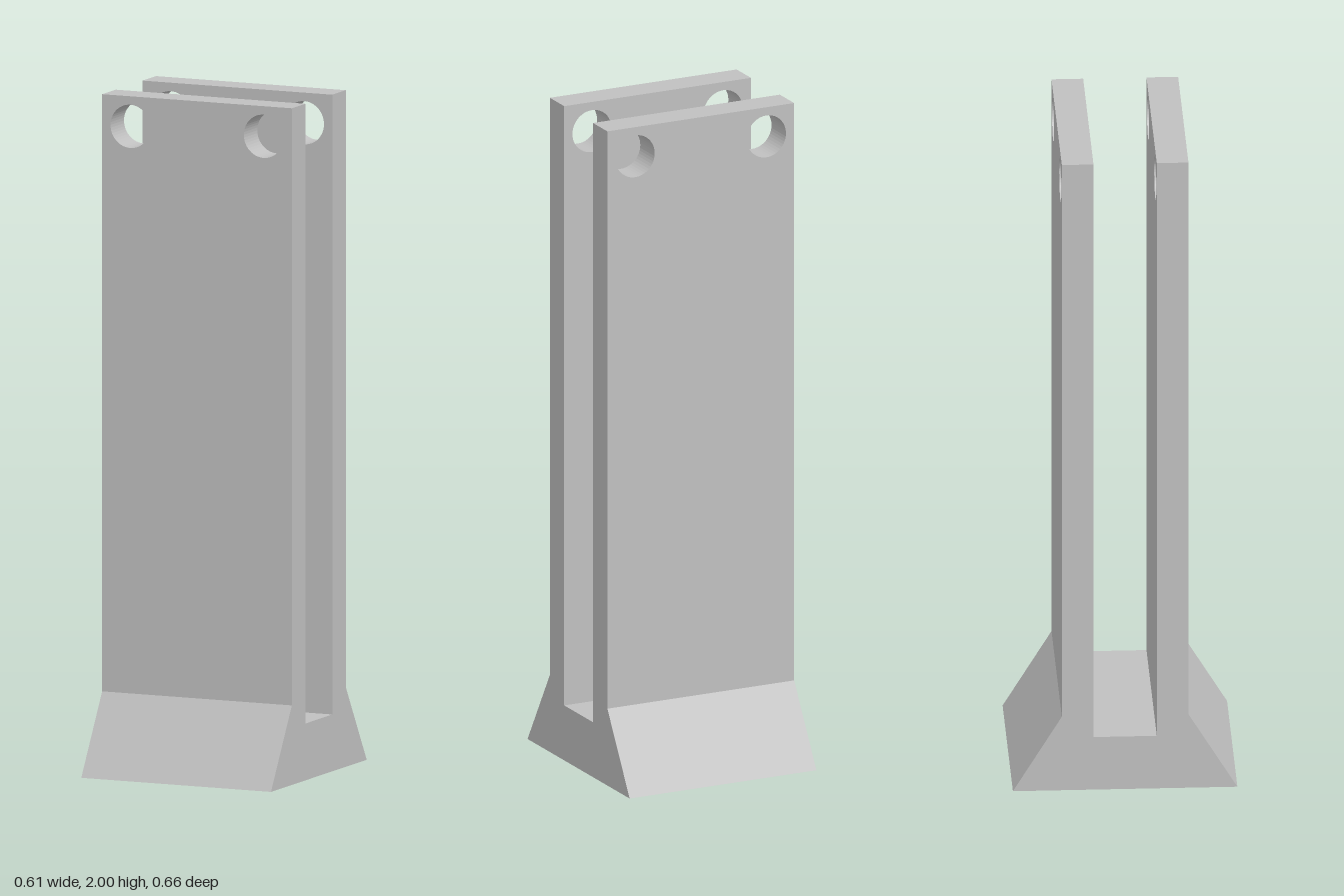
import * as THREE from 'three';

const HALF_W = 0.306;    // half width along x
const HEIGHT = 2;
const OUTER = 0.185;     // outer face of the plates along z
const INNER = 0.0925;    // inner face of the plates along z
const FOOT = 0.328;      // half depth of the flared foot
const FLARE_TOP = 0.235; // where the flare meets the plates
const FLOOR = 0.168;     // bottom of the slot

export function createModel() {
  const group = new THREE.Group();
  const grey = new THREE.MeshStandardMaterial({ color: 0xc0c0c0 });
  grey.name = 'light grey';

  // Flared foot with the bottom of the slot, profile extruded across the width
  const profile = new THREE.Shape([
    [-FOOT, 0], [FOOT, 0], [OUTER, FLARE_TOP], [INNER, FLARE_TOP],
    [INNER, FLOOR], [-INNER, FLOOR], [-INNER, FLARE_TOP], [-OUTER, FLARE_TOP],
  ].map(([z, y]) => new THREE.Vector2(z, y)));
  const footGeometry = new THREE.ExtrudeGeometry(profile, { depth: 2 * HALF_W, bevelEnabled: false });
  footGeometry.translate(0, 0, -HALF_W).rotateY(Math.PI / 2);
  const foot = new THREE.Mesh(footGeometry, grey);
  foot.name = 'flaredFoot';
  group.add(foot);

  // Upright plate with two bolt holes near the top
  const outline = new THREE.Shape([
    [-HALF_W, FLARE_TOP], [HALF_W, FLARE_TOP], [HALF_W, HEIGHT], [-HALF_W, HEIGHT],
  ].map(([x, y]) => new THREE.Vector2(x, y)));
  for (const side of [-1, 1]) {
    outline.holes.push(new THREE.Path().absarc(side * 0.215, 1.911, 0.064, 0, Math.PI * 2, true));
  }
  const plateGeometry = new THREE.ExtrudeGeometry(outline, {
    depth: OUTER - INNER, bevelEnabled: false, curveSegments: 24,
  });

  // Front and back plates
  for (const [name, z] of [['frontPlate', INNER], ['backPlate', -OUTER]]) {
    const plate = new THREE.Mesh(plateGeometry, grey);
    plate.name = name;
    plate.position.z = z;
    group.add(plate);
  }
  return group;
}
